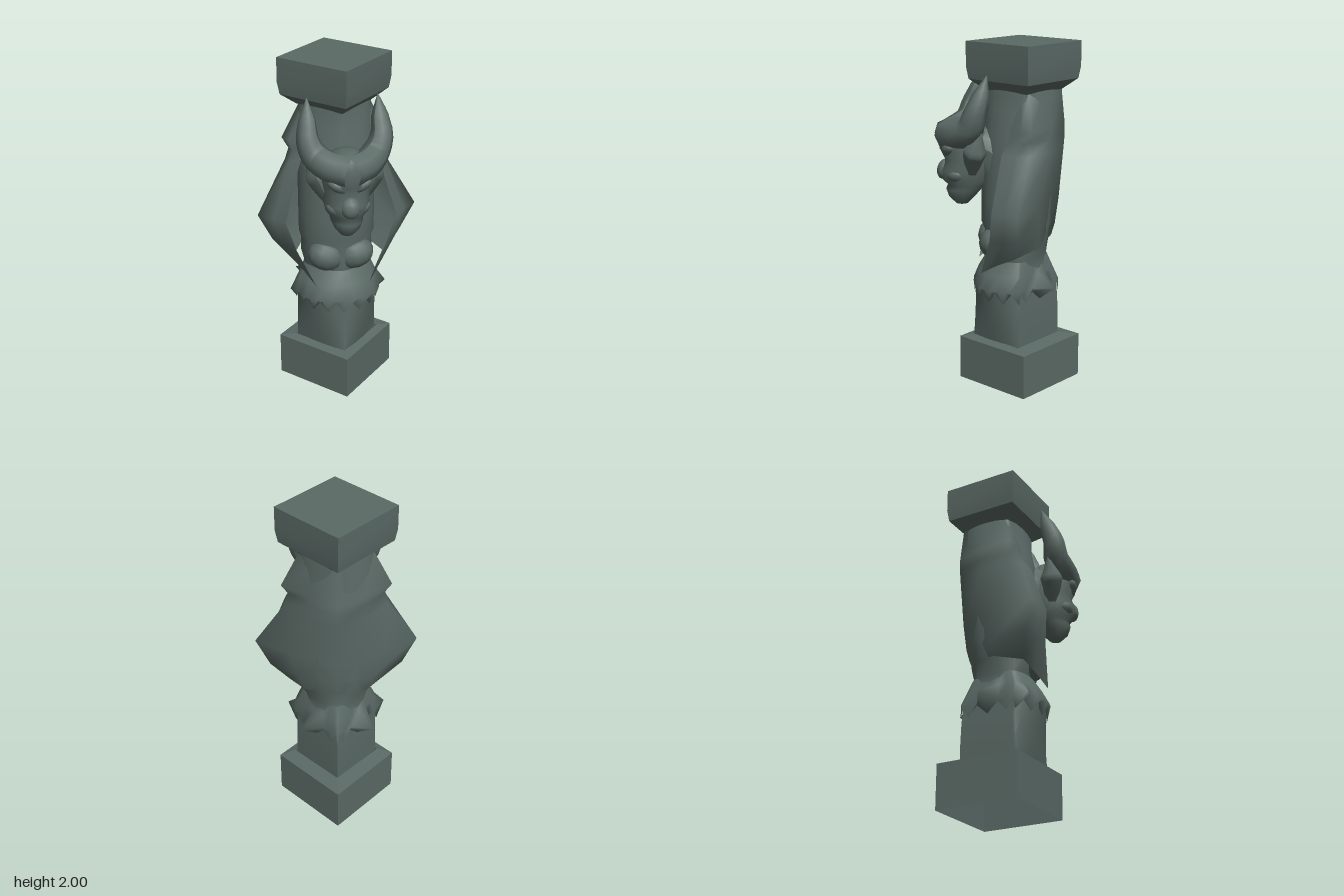
import * as THREE from 'three';
import { toCreasedNormals } from 'three/addons/utils/BufferGeometryUtils.js';

const stone = new THREE.MeshStandardMaterial({ color: 0x5b6a66, side: THREE.DoubleSide });
stone.name = 'stone';

// Surface through rows of [x, y, z] points, given from bottom to top
function loft(rows, { closed = true, capBottom = false, capTop = false } = {}) {
  const n = rows[0].length, pos = rows.flat(2), idx = [];
  for (let r = 0; r < rows.length - 1; r++) {
    for (let i = 0; i < (closed ? n : n - 1); i++) {
      const j = (i + 1) % n, a = r * n + i, b = r * n + j;
      idx.push(a, b, b + n, a, b + n, a + n);
    }
  }
  const cap = (r, up) => {
    const c = pos.length / 3;
    for (let k = 0; k < 3; k++) pos.push(rows[r].reduce((s, p) => s + p[k], 0) / n);
    for (let i = 0; i < n; i++) {
      const a = r * n + i, b = r * n + (i + 1) % n;
      idx.push(...(up ? [a, b, c] : [b, a, c]));
    }
  };
  if (capBottom) cap(0, false);
  if (capTop) cap(rows.length - 1, true);
  const g = new THREE.BufferGeometry();
  g.setAttribute('position', new THREE.Float32BufferAttribute(pos, 3));
  g.setIndex(idx);
  g.computeVertexNormals();
  return g;
}

// Square ring from lo to hi on both x and z; skew draws the two side corners in
const square = (y, lo, hi, skew = 0) =>
  [[lo + skew, y, hi - skew], [hi, y, hi], [hi - skew, y, lo + skew], [lo, y, lo]];

// Rounded ring: half width, front and back depth, roundness of each half (1 diamond, 2 ellipse)
function oval([y, w, front, back, p = 2, q = p], n = 24) {
  return Array.from({ length: n }, (_, i) => {
    const t = i / n * Math.PI * 2, e = 2 / (Math.cos(t) > 0 ? p : q);
    const f = v => Math.sign(v) * Math.abs(v) ** e;
    return [w * f(Math.sin(t)), y, (front + back) / 2 + (front - back) / 2 * f(Math.cos(t))];
  });
}

// Tube whose radius follows a list of radii along its path
function taper(points, radii, sides = 8) {
  const curve = new THREE.CatmullRomCurve3(points.map(p => new THREE.Vector3(...p)));
  const seg = 14, g = new THREE.TubeGeometry(curve, seg, 1, sides);
  const p = g.attributes.position, v = new THREE.Vector3();
  for (let i = 0; i <= seg; i++) {
    const c = curve.getPointAt(i / seg), u = i / seg * (radii.length - 1);
    const k = Math.min(Math.floor(u), radii.length - 2);
    const r = radii[k] + (radii[k + 1] - radii[k]) * (u - k);
    for (let j = 0; j <= sides; j++) {
      const q = i * (sides + 1) + j;
      v.fromBufferAttribute(p, q).sub(c).multiplyScalar(r).add(c);
      p.setXYZ(q, v.x, v.y, v.z);
    }
  }
  g.computeVertexNormals();
  return g;
}

function add(parent, name, geometry) {
  const m = new THREE.Mesh(geometry, stone);
  m.name = name;
  parent.add(m);
  return m;
}

function blob(parent, name, at, size, rx = 0, rz = 0) {
  const m = add(parent, name, new THREE.SphereGeometry(1, 12, 8));
  m.position.set(...at);
  m.scale.set(...size);
  m.rotation.set(rx, 0, rz);
}

export function createModel() {
  const model = new THREE.Group();
  model.name = 'gargoyleColumn';

  // Hollow plinth and capital, square to the axes
  add(model, 'plinth', toCreasedNormals(loft([
    square(0, -0.305, 0.195, 0.008), square(0.26, -0.305, 0.195, 0.008),
    square(0.275, -0.215, 0.14)]), 0.1));
  add(model, 'capital', toCreasedNormals(loft([
    square(1.73, -0.22, 0.085), square(1.79, -0.285, 0.15), square(1.86, -0.295, 0.16),
    square(2, -0.295, 0.16)], { capBottom: true, capTop: true }), 0.2));

  // The creature and its shaft face along the diagonal
  const beast = new THREE.Group();
  beast.name = 'gargoyle';
  beast.rotation.y = Math.PI / 4;
  model.add(beast);

  // Shaft: square at the foot, rounding off at the front higher up
  const n = 32;
  add(beast, 'shaft', toCreasedNormals(loft([
    [0.27, 0.238, 0.192, -0.304, 1.1, 1], [0.38, 0.236, 0.185, -0.304, 1.4, 1.02],
    [0.5, 0.234, 0.18, -0.3, 1.8, 1.02], [0.62, 0.234, 0.18, -0.29, 2.4, 1.02]]
    .map(r => oval(r, n))), 0.9));

  // Ruff of feathers with a zigzag hem, side points and two pointed tufts at the back
  const hem = oval([0.55, 0.238, 0.185, -0.305, 2, 1.02], n)
    .map(([x, y, z], i) => [x, i % 2 ? 0.59 : 0.53, z]);
  const wide = oval([0.61, 0.25, 0.193, -0.305, 2.6, 1.05], n);
  for (const [i, s] of [[n / 4, 1], [3 * n / 4, -1]]) {
    wide[i] = [s * 0.285, 0.62, 0];
    wide[i + s * n / 8] = [s * 0.212, 0.62, -0.262];
  }
  add(beast, 'ruff', loft([hem, wide, oval([0.69, 0.23, 0.165, -0.27, 2, 1.2], n),
    oval([0.77, 0.195, 0.12, -0.235, 1.7, 1.3], n)]));

  add(beast, 'body', loft([
    [0.7, 0.2, 0.13, -0.25, 1.4], [0.77, 0.19, 0.12, -0.23, 1.5], [0.85, 0.21, 0.14, -0.24],
    [0.92, 0.205, 0.125, -0.25], [0.97, 0.22, 0.145, -0.26], [1.1, 0.22, 0.145, -0.27],
    [1.3, 0.22, 0.14, -0.28], [1.5, 0.22, 0.13, -0.29, 1.8], [1.62, 0.21, 0.11, -0.3, 1.5],
    [1.74, 0.205, 0.11, -0.3, 1.2]].map(r => oval(r))));

  // Wings folded round the back: half sections from the spine to the front edge
  const halves = [
    [[0, 0.88, -0.26], [0.18, 0.85, -0.17], [0.27, 0.81, -0.02], [0.21, 0.76, 0.07], [0.155, 0.7, 0.155]],
    [[0, 0.95, -0.28], [0.22, 0.95, -0.17], [0.38, 0.94, -0.04], [0.33, 0.93, 0.04], [0.26, 0.92, 0.11]],
    [[0, 1.1, -0.3], [0.26, 1.1, -0.16], [0.46, 1.1, -0.03], [0.38, 1.1, 0.04], [0.32, 1.1, 0.1]],
    [[0, 1.4, -0.325], [0.16, 1.4, -0.24], [0.285, 1.4, -0.11], [0.28, 1.4, -0.03], [0.23, 1.4, 0.04]],
    [[0, 1.47, -0.33], [0.15, 1.47, -0.23], [0.265, 1.47, -0.1], [0.25, 1.47, -0.05], [0.2, 1.47, 0]],
    [[0, 1.53, -0.33], [0.15, 1.53, -0.24], [0.3, 1.53, -0.115], [0.27, 1.53, -0.06], [0.18, 1.53, 0]],
    [[0, 1.73, -0.31], [0.11, 1.73, -0.2], [0.2, 1.73, -0.11], [0.18, 1.71, -0.07], [0.14, 1.69, -0.03]]];
  add(beast, 'wings', loft(halves.map(h =>
    [...h.slice(1).reverse(), ...h.map(([x, y, z]) => [-x, y, z])]), { closed: false }));

  // Neck and head
  add(beast, 'neck', taper([[0, 1.3, 0.02], [0, 1.4, 0.1], [0, 1.43, 0.24]], [0.15, 0.13, 0.1], 12));
  add(beast, 'head', loft([
    [1.08, 0.035, 0.29, 0.22], [1.12, 0.07, 0.33, 0.18], [1.165, 0.09, 0.345, 0.14],
    [1.19, 0.095, 0.335, 0.12], [1.22, 0.115, 0.365, 0.1], [1.28, 0.13, 0.38, 0.08],
    [1.34, 0.13, 0.35, 0.06], [1.4, 0.14, 0.38, 0.06], [1.5, 0.13, 0.39, 0.09],
    [1.55, 0.09, 0.36, 0.14], [1.57, 0.04, 0.3, 0.2]].map(r => oval(r, 16)),
  { capBottom: true, capTop: true }));
  blob(beast, 'nose', [0, 1.28, 0.355], [0.055, 0.06, 0.04], -0.3);

  for (const s of [-1, 1]) {
    const side = s > 0 ? 'left' : 'right';
    add(beast, side + 'Horn', taper([[0, 1.48, 0.33], [s * 0.1, 1.495, 0.275], [s * 0.17, 1.54, 0.21],
      [s * 0.203, 1.62, 0.187], [s * 0.2, 1.71, 0.155], [s * 0.194, 1.835, 0.117]],
    [0.088, 0.085, 0.078, 0.063, 0.046, 0.001]));
    add(beast, side + 'Ear', taper([[s * 0.1, 1.28, 0.2], [s * 0.155, 1.4, 0.185], [s * 0.2, 1.53, 0.15]],
      [0.035, 0.068, 0.001], 6));
    blob(beast, side + 'Brow', [s * 0.06, 1.4, 0.325], [0.07, 0.035, 0.045], 0, s * 0.45);
    blob(beast, side + 'Cheek', [s * 0.07, 1.25, 0.28], [0.06, 0.04, 0.06], 0, s * 0.5);
    blob(beast, side + 'Knee', [s * 0.085, 0.86, 0.075], [0.11, 0.09, 0.088], 0, s * 0.3);
  }
  return model;
}
